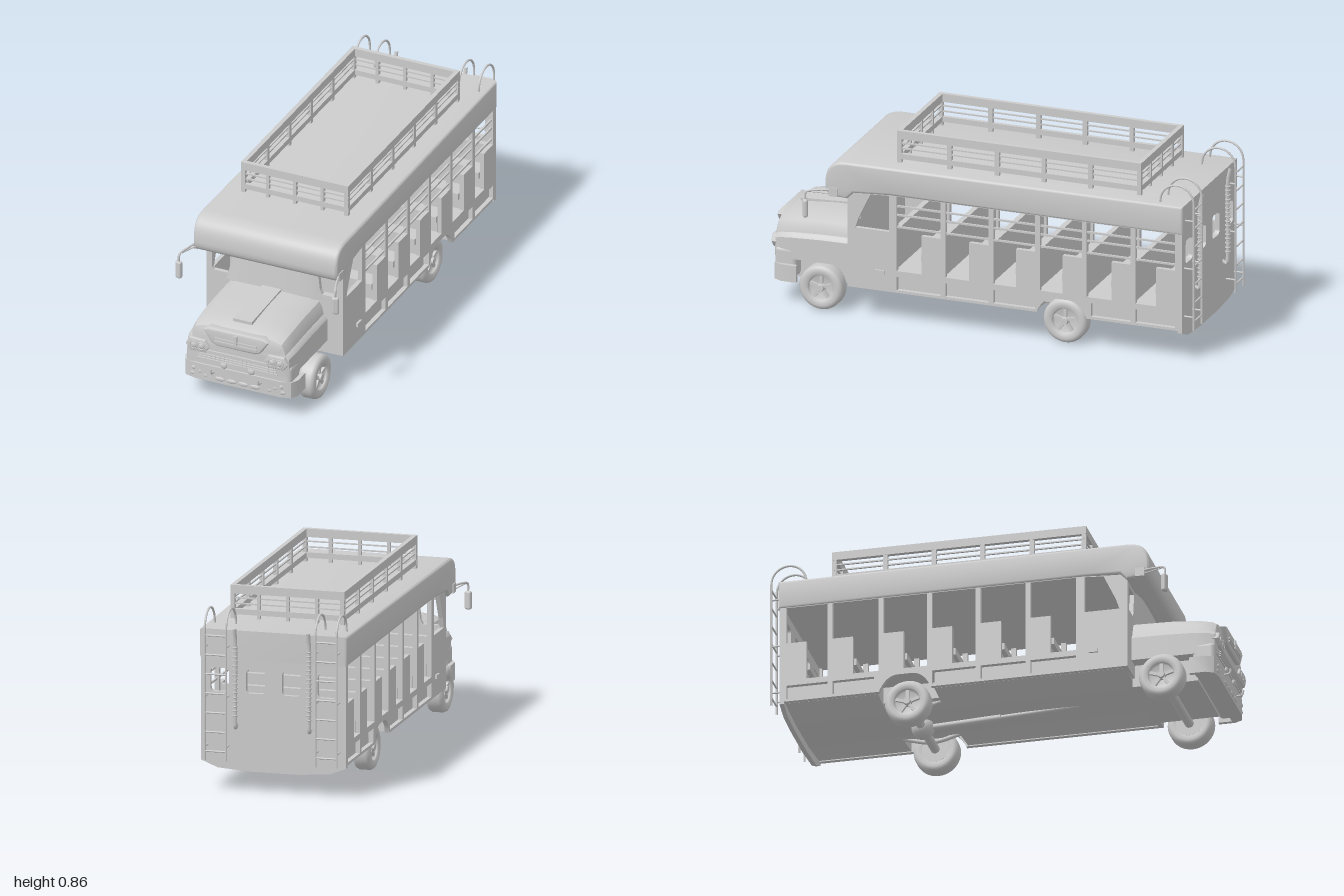
import * as THREE from 'three';
import { toCreasedNormals } from 'three/addons/utils/BufferGeometryUtils.js';
import { RoundedBoxGeometry } from 'three/addons/geometries/RoundedBoxGeometry.js';

const mat = new THREE.MeshStandardMaterial({ color: 0xcccccc });
const V = (x, y, z) => new THREE.Vector3(x, y, z);

export function createModel() {
  const root = new THREE.Group();
  const add = (name, geo, x = 0, y = 0, z = 0) => {
    const m = new THREE.Mesh(geo, mat);
    m.name = name;
    m.position.set(x, y, z);
    root.add(m);
    return m;
  };
  // box from its min and max corners
  const box = (name, x0, x1, y0, y1, z0, z1) =>
    add(name, new THREE.BoxGeometry(x1 - x0, y1 - y0, z1 - z0), (x0 + x1) / 2, (y0 + y1) / 2, (z0 + z1) / 2);
  const tube = (name, pts, r, seg = 24) =>
    add(name, new THREE.TubeGeometry(new THREE.CatmullRomCurve3(pts, false, 'centripetal'), seg, r, 8));
  const rod = (name, a, b, r) => add(name, new THREE.TubeGeometry(new THREE.LineCurve3(a, b), 1, r, 10));
  const poly = pts => new THREE.Shape(pts.map(p => new THREE.Vector2(...p)));
  const roundRect = (x0, x1, y0, y1, r) => {
    const s = new THREE.Shape();
    s.absarc(x1 - r, y1 - r, r, 0, Math.PI / 2);
    s.absarc(x0 + r, y1 - r, r, Math.PI / 2, Math.PI);
    s.absarc(x0 + r, y0 + r, r, Math.PI, Math.PI * 1.5);
    s.absarc(x1 - r, y0 + r, r, Math.PI * 1.5, Math.PI * 2);
    return s;
  };
  const extrude = (shape, depth, bevel = 0) => new THREE.ExtrudeGeometry(shape, {
    depth, curveSegments: 12, bevelEnabled: bevel > 0, bevelSize: bevel, bevelThickness: bevel, bevelOffset: -bevel, bevelSegments: 3 });
  // extrude a (z, y) outline across x, centred
  const extrudeX = (shape, width, bevel = 0) =>
    extrude(shape, width - 2 * bevel, bevel).rotateY(-Math.PI / 2).translate(width / 2 - bevel, 0, 0);
  // closed skin through rings of equal length
  const loft = rings => {
    const n = rings[0].length, pos = rings.flat().flatMap(p => p.toArray()), idx = [];
    for (let i = 0; i < rings.length - 1; i++) for (let j = 0; j < n; j++) {
      const a = i * n + j, b = i * n + (j + 1) % n;
      idx.push(a, b, b + n, a, b + n, a + n);
    }
    [0, rings.length - 1].forEach((i, end) => {
      const c = rings[i].reduce((s, p) => s.add(p), V(0, 0, 0)).divideScalar(n);
      const k = pos.push(...c.toArray()) / 3 - 1;
      for (let j = 0; j < n; j++) {
        const a = i * n + j, b = i * n + (j + 1) % n;
        idx.push(k, end ? a : b, end ? b : a);
      }
    });
    const g = new THREE.BufferGeometry();
    g.setAttribute('position', new THREE.Float32BufferAttribute(pos, 3));
    g.setIndex(idx);
    return toCreasedNormals(g.toNonIndexed(), 0.5);
  };

  const posts = [0.375, 0.15, -0.07, -0.285, -0.5, -0.725, -0.93];

  // side walls: sill, door, posts and bench ends in one pierced panel
  const wall = new THREE.Shape();
  wall.moveTo(0.59, 0.14);
  wall.lineTo(0.59, 0.6);
  wall.lineTo(-0.94, 0.6);
  wall.lineTo(-0.94, 0.14);
  wall.lineTo(-0.51, 0.14);
  wall.quadraticCurveTo(-0.48, 0.21, -0.43, 0.213);
  wall.lineTo(-0.36, 0.213);
  wall.quadraticCurveTo(-0.31, 0.21, -0.28, 0.14);
  wall.holes.push(poly([[0.555, 0.415], [0.54, 0.46], [0.485, 0.575], [0.4, 0.58], [0.4, 0.415]]));
  for (let i = 1; i < posts.length; i++) {
    const f = posts[i - 1] - 0.011, b = posts[i] + 0.011, e = posts[i] + 0.1;
    wall.holes.push(poly([[f, 0.24], [f, 0.582], [b, 0.582], [b, 0.415], [e, 0.415], [e, 0.24]]));
    if (i !== 4) wall.holes.push(poly([[f - (i === 5 ? 0.02 : 0), 0.152], [f - (i === 5 ? 0.02 : 0), 0.214], [b, 0.214], [b, 0.152]]));
  }
  for (const s of [-1, 1]) add('sideWall', extrudeX(wall, 0.02), s * 0.315);

  // floor and belly, narrowed between the rear wheels
  box('floor', -0.31, 0.31, 0.216, 0.238, -0.93, 0.58);
  const belly = (w, z0, z1) => add('belly', extrude(poly([[-w, 0.22], [-w, 0.142], [-0.12, 0.125], [0.12, 0.125], [w, 0.142], [w, 0.22]]), z1 - z0), 0, 0, z0);
  belly(0.3, -0.27, 0.58);
  belly(0.2, -0.52, -0.27);
  belly(0.3, -0.935, -0.52);

  // benches
  posts.forEach(p => {
    box('benchSeat', -0.303, 0.303, 0.29, 0.32, p, p + 0.11);
    box('benchBase', -0.3, 0.3, 0.238, 0.29, p, p + 0.09);
    box('benchBack', -0.303, 0.303, 0.32, 0.415, p, p + 0.025);
  });

  // rails closing the openings on the left side
  for (const y of [0.44, 0.495, 0.535]) box('sideRail', 0.312, 0.32, y - 0.004, y + 0.004, -0.93, 0.37);

  // front wall with quarter windows, and curved windscreen
  const front = poly([[-0.325, 0.14], [0.325, 0.14], [0.325, 0.6], [-0.325, 0.6]]);
  for (const s of [-1, 1]) front.holes.push(poly([[s * 0.225, 0.42], [s * 0.29, 0.42], [s * 0.298, 0.43], [s * 0.298, 0.53], [s * 0.205, 0.53], [s * 0.215, 0.44]]));
  add('frontWall', extrude(front, 0.02), 0, 0, 0.57);
  const screen = new THREE.PlaneGeometry(2, 1, 16, 1), sp = screen.attributes.position;
  for (let i = 0; i < sp.count; i++) {
    const u = sp.getX(i), t = sp.getY(i) + 0.5;
    sp.setXYZ(i, u * (0.228 - 0.045 * t), 0.395 + 0.17 * t, 0.591 + (1 - u ** 4) * (0.03 - 0.015 * t));
  }
  screen.computeVertexNormals();
  add('windscreen', screen);

  // roof with rounded visor, slightly wider at the front
  const roofShape = new THREE.Shape();
  roofShape.moveTo(-0.955, 0.582);
  roofShape.lineTo(0.4, 0.582);
  roofShape.lineTo(0.56, 0.575);
  roofShape.lineTo(0.59, 0.545);
  roofShape.lineTo(0.66, 0.55);
  roofShape.quadraticCurveTo(0.69, 0.56, 0.69, 0.6);
  roofShape.bezierCurveTo(0.69, 0.67, 0.67, 0.71, 0.59, 0.711);
  roofShape.lineTo(-0.955, 0.711);
  const roof = extrudeX(roofShape, 0.66, 0.012), rp = roof.attributes.position;
  for (let i = 0; i < rp.count; i++) rp.setX(i, rp.getX(i) * (1 + 0.035 * THREE.MathUtils.smoothstep(rp.getZ(i), 0.38, 0.6)));
  add('roof', toCreasedNormals(roof, 0.6));

  // rear wall with four windows and a lower skirt
  const rear = poly([[-0.325, 0.13], [-0.25, 0.1], [-0.1, 0.09], [0.1, 0.09], [0.25, 0.1], [0.325, 0.13], [0.325, 0.6], [-0.325, 0.6]]);
  for (const x of [-0.24, -0.08, 0.08, 0.24]) rear.holes.push(roundRect(x - 0.042, x + 0.042, 0.435, 0.54, 0.018));
  add('rearWall', extrude(rear, 0.02), 0, 0, -0.95);

  // roof rack
  const rack = (y0, y1, t) => {
    for (const s of [-1, 1]) box('rackSideRail', s * 0.245 - t, s * 0.245 + t, y0, y1, -0.735, 0.39);
    for (const z of [-0.725, 0.38]) box('rackEndRail', -0.255, 0.255, y0, y1, z - t, z + t);
  };
  rack(0.82, 0.857, 0.01);
  rack(0.728, 0.752, 0.009);
  rack(0.772, 0.778, 0.004);
  rack(0.797, 0.803, 0.004);
  for (const z of [0.38, 0.15, -0.07, -0.285, -0.5, -0.725])
    for (const s of [-1, 1]) box('rackPost', s * 0.245 - 0.009, s * 0.245 + 0.009, 0.705, 0.83, z - 0.01, z + 0.01);
  for (const z of [-0.725, 0.38])
    for (const x of [-0.13, 0, 0.13]) box('rackPost', x - 0.007, x + 0.007, 0.705, 0.83, z - 0.009, z + 0.009);

  // bonnet with stepped fenders
  const half = [[1, 0.2], [1, 0.26], [1.0, 0.305], [0.97, 0.318], [0.93, 0.326], [0.9, 0.36], [0.85, 0.384], [0.7, 0.402], [0.35, 0.409]];
  const rings = [[0.585, 0.25, 0.41], [0.75, 0.25, 0.406], [0.87, 0.25, 0.396], [0.93, 0.246, 0.384], [0.955, 0.24, 0.37], [0.963, 0.225, 0.352]].map(([z, w, top]) => {
    const r = half.map(([x, y]) => V(x * w, 0.2 + (y - 0.2) * (top - 0.2) / 0.21, z));
    return [...r, ...r.slice().reverse().map(p => V(-p.x, p.y, p.z))];
  });
  add('bonnet', loft(rings));
  const nose = poly([[-0.155, 0.36], [-0.115, 0.3], [-0.09, 0.29], [0.09, 0.29], [0.115, 0.3], [0.155, 0.36], [0.13, 0.372], [-0.13, 0.372]]);
  add('nosePanel', toCreasedNormals(extrude(nose, 0.03, 0.008), 0.6), 0, 0, 0.945);
  const scoop = box('bonnetRidge', -0.045, 0.045, -0.007, 0.007, -0.16, 0.16);
  scoop.position.set(0, 0.405, 0.755);
  scoop.rotation.x = 0.045;
  for (const y of [0.315, 0.33]) box('noseTrim', -0.1, 0.1, y - 0.003, y + 0.003, 0.97, 0.988);
  box('noseOrnament', -0.008, 0.008, 0.318, 0.36, 0.97, 0.99);

  // front apron, engine bay and grille
  add('frontApron', new RoundedBoxGeometry(0.5, 0.14, 0.1, 3, 0.02), 0, 0.18, 0.908);
  box('engineBay', -0.19, 0.19, 0.1, 0.21, 0.58, 0.87);
  box('grilleSurround', -0.2, 0.2, 0.243, 0.252, 0.95, 0.972);
  for (let i = 0; i < 4; i++) box('grilleBar', -0.19 + i * 0.005, 0.19 - i * 0.005, 0.205 + i * 0.011, 0.209 + i * 0.011, 0.95, 0.97);
  for (let i = -8; i <= 8; i++) box('grilleSlat', i * 0.021 - 0.002, i * 0.021 + 0.002, 0.203, 0.245, 0.95, 0.966);

  // bumper wrapping back at the ends
  const bumper = poly([[-0.268, 0.85], [-0.268, 0.92], [-0.25, 0.955], [-0.2, 0.967], [0.2, 0.967], [0.25, 0.955], [0.268, 0.92], [0.268, 0.85], [0.25, 0.85], [0.25, 0.91], [-0.25, 0.91], [-0.25, 0.85]]);
  add('bumper', toCreasedNormals(extrude(bumper, 0.076).rotateX(Math.PI / 2), 0.6), 0, 0.176, 0);

  // lamps: domes facing forward
  const lamp = (name, x, y, z, r, stretch = 1) => add(name, new THREE.SphereGeometry(r, 18, 10).scale(stretch, 1, 0.5), x, y, z);
  for (const x of [-0.083, -0.028, 0.028, 0.083]) lamp('bumperLamp', x, 0.122, 0.967, 0.01, 2.4);
  for (const s of [-1, 1]) {
    const bez = poly([[s * 0.13, 0.267], [s * 0.15, 0.298], [s * 0.225, 0.3], [s * 0.243, 0.267], [s * 0.222, 0.238], [s * 0.15, 0.238]]);
    add('headlampBezel', toCreasedNormals(extrude(bez, 0.025, 0.006), 0.6), 0, 0, 0.944);
    for (const x of [0.168, 0.204]) {
      add('headlampRing', new THREE.TorusGeometry(0.017, 0.003, 8, 24), s * x, 0.267, 0.976);
      lamp('headlamp', s * x, 0.267, 0.972, 0.016);
    }
    lamp('fogLamp', s * 0.065, 0.192, 0.965, 0.016);
    lamp('bumperLamp', s * 0.208, 0.122, 0.962, 0.01, 1.9);
    for (const [x, y] of [[0.152, 0.122], [0.178, 0.138], [0.207, 0.15]]) lamp('markerLamp', s * x, y, 0.964, 0.01);
    tube('bumperGuard', [V(s * 0.112, 0.15, 0.965), V(s * 0.112, 0.155, 0.99), V(s * 0.112, 0.175, 0.995)], 0.005, 8);

    // door mirrors
    box('mirrorBracket', s * 0.338 - 0.008, s * 0.338 + 0.008, 0.55, 0.59, 0.63, 0.67);
    tube('mirrorArm', [V(s * 0.338, 0.577, 0.66), V(s * 0.355, 0.575, 0.72), V(s * 0.37, 0.565, 0.765), V(s * 0.371, 0.52, 0.767)], 0.005);
    rod('mirrorStay', V(s * 0.338, 0.56, 0.66), V(s * 0.365, 0.568, 0.755), 0.003);
    add('mirror', new RoundedBoxGeometry(0.032, 0.082, 0.022, 3, 0.009), s * 0.372, 0.492, 0.767).rotation.y = s * 0.4;
    box('doorStep', s * 0.328 - 0.006, s * 0.328 + 0.006, 0.218, 0.236, 0.42, 0.46);

    // rear ladder hooked over the roof
    for (const x of [0.2, 0.295]) {
      const pts = [V(s * x, 0.14, -0.993), V(s * x, 0.45, -0.993), V(s * x, 0.7, -0.993)];
      for (let a = 0; a <= 8; a++) pts.push(V(s * x, 0.717 + 0.078 * Math.sin(a * Math.PI / 8), -0.916 - 0.077 * Math.cos(a * Math.PI / 8)));
      tube('ladderRail', [...pts, V(s * x, 0.7, -0.839)], 0.005, 60);
      for (const y of [0.2, 0.42, 0.64]) rod('ladderBracket', V(s * x, y, -0.993), V(s * x, y, -0.94), 0.004);
    }
    for (let i = 0; i < 7; i++) rod('ladderRung', V(s * 0.2, 0.18 + i * 0.085, -0.993), V(s * 0.295, 0.18 + i * 0.085, -0.993), 0.004);

    // upright exhaust with ribbed shield
    tube('exhaustPipe', [V(s * 0.165, 0.3, -0.94), V(s * 0.165, 0.285, -0.965), V(s * 0.165, 0.33, -0.972), V(s * 0.165, 0.66, -0.972), V(s * 0.165, 0.725, -0.985)], 0.009, 32);
    for (let i = 0; i < 16; i++) add('exhaustRib', new THREE.TorusGeometry(0.01, 0.003, 6, 14).rotateX(Math.PI / 2), s * 0.165, 0.34 + i * 0.02, -0.972);
  }

  // wheels: tyre, dished rim, five spokes and hub
  const P = (x, y) => new THREE.Vector2(x, y);
  const tyre = new THREE.LatheGeometry([P(0.058, -0.036), P(0.08, -0.04), P(0.094, -0.034), P(0.1, -0.022), P(0.1, 0.022), P(0.094, 0.034), P(0.08, 0.04), P(0.06, 0.037), P(0.056, 0.03), P(0.052, 0.015), P(0.001, 0.015)], 40).rotateZ(-Math.PI / 2);
  for (const z of [0.73, -0.395]) for (const s of [-1, 1]) {
    const wheel = new THREE.Group();
    wheel.name = 'wheel';
    wheel.position.set(s * 0.255, 0.1, z);
    if (s < 0) wheel.rotation.y = Math.PI;
    const part = (name, geo) => { const m = new THREE.Mesh(geo, mat); m.name = name; wheel.add(m); };
    part('tyre', tyre);
    part('wheelBack', new THREE.CylinderGeometry(0.06, 0.06, 0.01, 32).rotateZ(Math.PI / 2).translate(-0.032, 0, 0));
    part('hub', new THREE.CylinderGeometry(0.014, 0.02, 0.026, 20).rotateZ(-Math.PI / 2).translate(0.025, 0, 0));
    for (let i = 0; i < 5; i++) part('spoke', new THREE.BoxGeometry(0.014, 0.045, 0.014).translate(0.02, 0.032, 0).rotateX(i * Math.PI * 0.4));
    root.add(wheel);
  }

  // axles, differential, drive shaft and springs
  rod('frontAxle', V(-0.23, 0.095, 0.73), V(0.23, 0.095, 0.73), 0.02);
  rod('rearAxle', V(-0.23, 0.1, -0.395), V(0.23, 0.1, -0.395), 0.02);
  add('differential', new THREE.SphereGeometry(0.05, 20, 14), 0, 0.1, -0.395);
  rod('driveShaft', V(0, 0.13, 0.3), V(0, 0.113, -0.05), 0.01);
  rod('driveShaft', V(0, 0.113, -0.05), V(0, 0.1, -0.36), 0.014);
  for (const s of [-1, 1]) for (const z of [0.73, -0.395])
    tube('leafSpring', [V(s * 0.17, 0.14, z - 0.13), V(s * 0.17, 0.112, z), V(s * 0.17, 0.14, z + 0.13)], 0.01, 12);

  return root;
}
